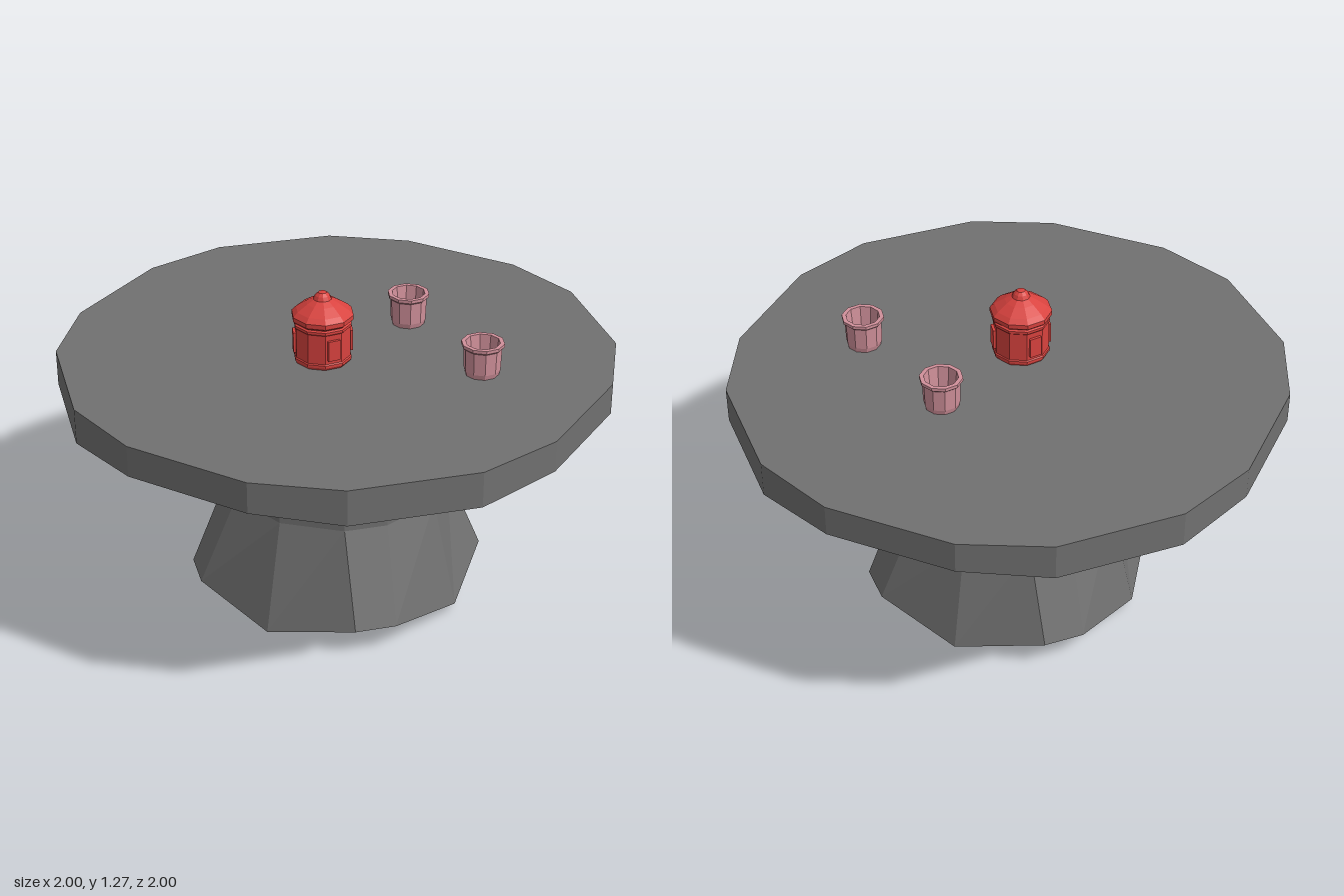
import * as THREE from 'three';

// Repeats one quarter of an outline ([x, y, z] points) four times around the y axis
function ring(quarter) {
  const pts = [];
  let q = quarter;
  for (let k = 0; k < 4; k++) {
    pts.push(...q);
    q = q.map(([x, y, z]) => [z, y, -x]);
  }
  return pts;
}

// Faceted solid from stacked rings, closed by fans around the bottom and top centres
function loft(rings, bottomY, topY) {
  const pos = [];
  const n = rings[0].length;
  const last = rings[rings.length - 1];
  for (let j = 0; j < n; j++) {
    const k = (j + 1) % n;
    for (let i = 0; i < rings.length - 1; i++) {
      const [a, b, c, d] = [rings[i][j], rings[i][k], rings[i + 1][k], rings[i + 1][j]];
      pos.push(...a, ...b, ...c, ...a, ...c, ...d);
    }
    pos.push(0, bottomY, 0, ...rings[0][k], ...rings[0][j]);
    pos.push(0, topY, 0, ...last[j], ...last[k]);
  }
  const geo = new THREE.BufferGeometry();
  geo.setAttribute('position', new THREE.Float32BufferAttribute(pos, 3));
  geo.computeVertexNormals();
  return geo;
}

// Ten-sided turned shape with flat facets
function turned(profile) {
  const geo = new THREE.LatheGeometry(profile.map(([r, y]) => new THREE.Vector2(r, y)), 10).toNonIndexed();
  geo.computeVertexNormals();
  return geo;
}

export function createModel() {
  const model = new THREE.Group();
  const stone = new THREE.MeshStandardMaterial({ color: 0x707070 });
  const red = new THREE.MeshStandardMaterial({ color: 0xd8423e });
  const pink = new THREE.MeshStandardMaterial({ color: 0xd0909a });
  stone.name = 'grey stone';
  red.name = 'red';
  pink.name = 'pink';

  const add = (parent, name, geo, mat, x = 0, y = 0, z = 0) => {
    const mesh = new THREE.Mesh(geo, mat);
    mesh.name = name;
    mesh.position.set(x, y, z);
    parent.add(mesh);
    return mesh;
  };

  // Table top: sixteen sides, slightly thicker on the diagonals
  const slab = (low, high) => ring([[0.24, high, 1], [0.55, low, 0.88], [0.88, low, 0.55], [1, high, 0.24]]);
  add(model, 'tableTop', loft([slab(0.865, 0.882), slab(1, 1)], 0.88, 1), stone);

  // Pedestal: waisted twelve-sided column with a notched foot
  const section = (r, a, b, yAxis, yDiag = yAxis) => ring([[0, yAxis, r], [a, yDiag, b], [b, yDiag, a]]);
  add(model, 'pedestal', loft([
    section(0.52, 0.34, 0.45, 0.035, 0.11),
    section(0.42, 0.235, 0.35, 0.46),
    section(0.42, 0.235, 0.35, 0.645),
    section(0.475, 0.28, 0.395, 0.9),
  ], 0, 0.9), stone);

  // Jar with banded body, domed lid and knob
  const jar = new THREE.Group();
  jar.name = 'jar';
  jar.position.set(0, 1, 0.105);
  model.add(jar);
  add(jar, 'jarBody', turned([
    [0, 0.001], [0.1, 0.001], [0.108, 0.012], [0.108, 0.022], [0.104, 0.026], [0.104, 0.14],
    [0.108, 0.144], [0.108, 0.154], [0.1, 0.158], [0.1, 0.166], [0, 0.166],
  ]), red);
  add(jar, 'jarLid', turned([
    [0, 0.162], [0.106, 0.162], [0.115, 0.17], [0.115, 0.187], [0.098, 0.204], [0.06, 0.229],
    [0.034, 0.243], [0.027, 0.257], [0.016, 0.268], [0, 0.27],
  ]), red);
  for (const deg of [54, 126, 234, 306]) {
    const a = THREE.MathUtils.degToRad(deg);
    const panel = add(jar, 'jarPanel', new THREE.BoxGeometry(0.046, 0.078, 0.018), red,
      0.1 * Math.sin(a), 0.08, 0.1 * Math.cos(a));
    panel.rotation.y = a;
  }

  // Two open cups with flared rims
  const cupGeo = turned([
    [0, 0.001], [0.062, 0.001], [0.067, 0.02], [0.07, 0.105], [0.079, 0.113], [0.079, 0.125],
    [0.063, 0.125], [0.055, 0.04], [0, 0.04],
  ]);
  for (const [x, z] of [[0.125, -0.32], [0.555, -0.085]]) add(model, 'cup', cupGeo, pink, x, 1, z);

  return model;
}
